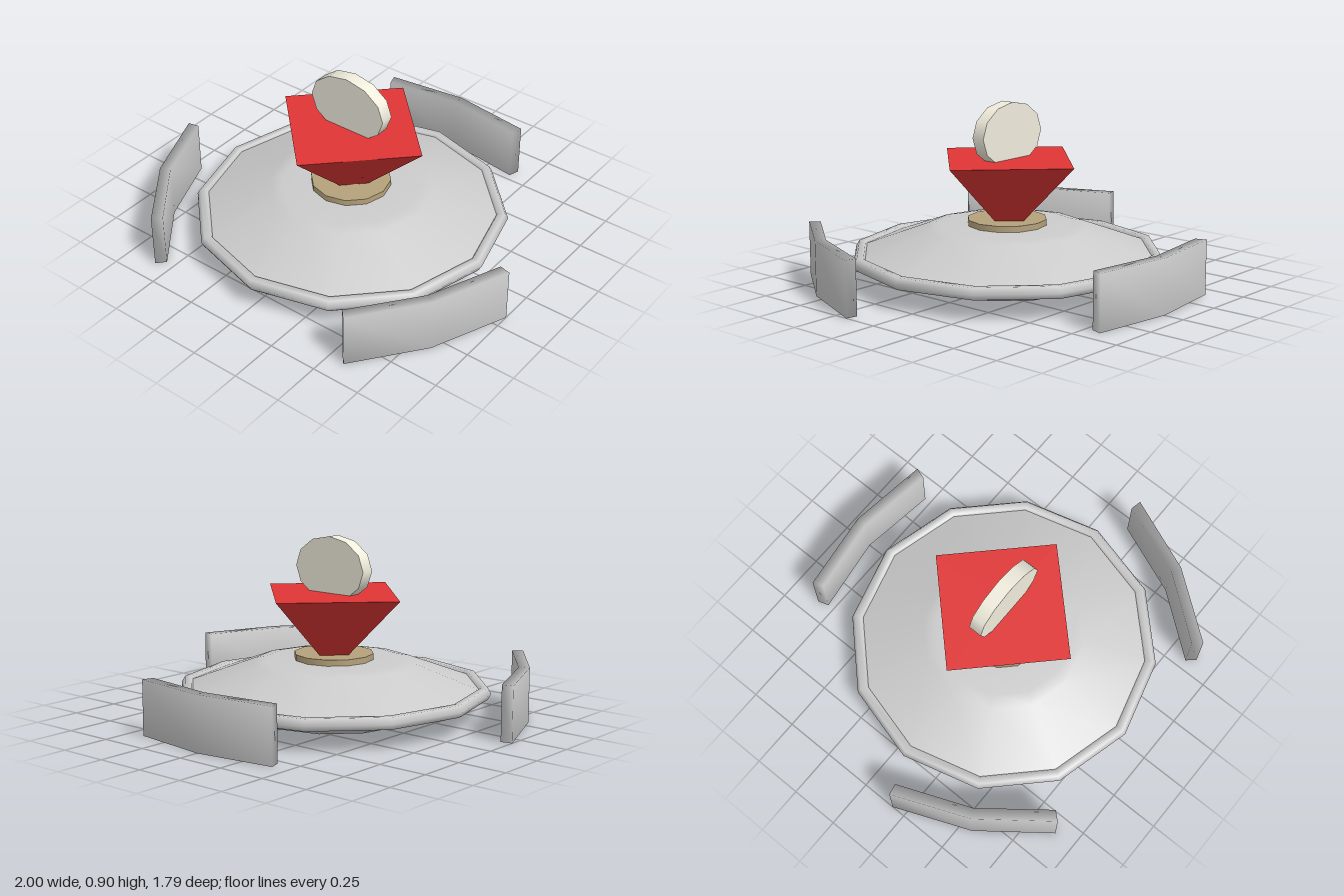
import * as THREE from 'three';
import { mergeVertices } from 'three/addons/utils/BufferGeometryUtils.js';

const SIDES = 12;
const CZ = 0.077; // z of the common axis

export function createModel() {
  const model = new THREE.Group();
  model.name = 'model';
  const mat = (color, side = THREE.FrontSide) => new THREE.MeshStandardMaterial({ color, side });
  const grey = mat(0xcccccc);
  const shell = mat(0xcccccc, THREE.DoubleSide);

  const add = (name, geometry, material, y = 0, z = CZ) => {
    const mesh = new THREE.Mesh(geometry, material);
    mesh.name = name;
    mesh.position.set(0, y, z);
    model.add(mesh);
    return mesh;
  };
  const lathe = (pts) => new THREE.LatheGeometry(pts.map(([r, y]) => new THREE.Vector2(r, y)), SIDES);

  // Hollow saucer: sloping underside with an open bottom, domed upper shell
  add('saucerUnderside', lathe([[0.41, 0], [0.753, 0.135]]), shell);
  add('saucerTop', lathe([[0.753, 0.142], [0.41, 0.272], [0.345, 0.285], [0.18, 0.287]]), shell);

  // Six-sided rim ring around the saucer
  const rim = new THREE.TorusGeometry(0.753, 0.034, 6, SIDES);
  rim.rotateX(-Math.PI / 2);
  add('rim', rim, grey, 0.135);

  // Round base plate and inverted four-sided pyramid
  add('basePlate', new THREE.CylinderGeometry(0.2, 0.2, 0.032, SIDES), mat(0xb5a27c), 0.301);
  add('invertedPyramid', new THREE.CylinderGeometry(0.42, 0.1, 0.305, 4), mat(0xe03535), 0.4675, 0.068);

  // Upright oval disc standing in the pyramid
  const disc = new THREE.CylinderGeometry(0.215, 0.215, 0.07, SIDES);
  disc.rotateX(Math.PI / 2);
  disc.scale(1, 0.16 / 0.215, 1);
  add('uprightDisc', disc, mat(0xf0eddd), 0.742, 0.074);

  // Bent guard panel, drawn in plan (x, distance outward), softly shaded
  const plan = new THREE.Shape([
    [0.395, 0.862], [0.413, 0.917], [0, 0.972], [-0.413, 0.917], [-0.395, 0.862], [0, 0.917],
  ].map(([x, d]) => new THREE.Vector2(x, d)));
  let panel = new THREE.ExtrudeGeometry(plan, { depth: 0.275, bevelEnabled: false });
  panel.rotateX(-Math.PI / 2);
  panel.deleteAttribute('normal');
  panel.deleteAttribute('uv');
  panel = mergeVertices(panel, 1e-4);
  panel.computeVertexNormals();

  // Three panels spaced evenly around the saucer
  ['backPanel', 'rightPanel', 'leftPanel'].forEach((name, i) => {
    add(name, panel, grey).rotation.y = (i * Math.PI * 2) / 3;
  });

  return model;
}
